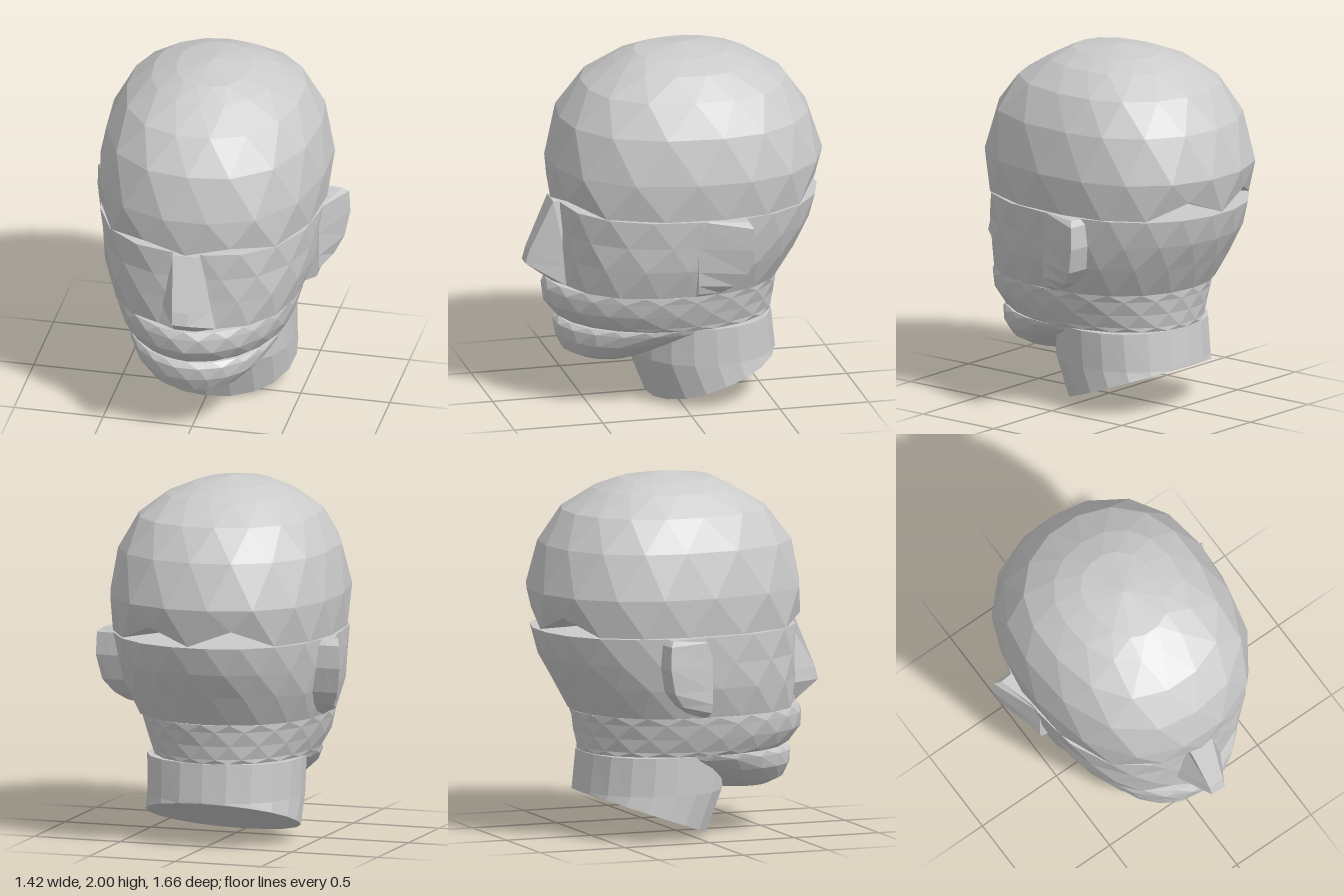
import * as THREE from 'three';

const material = new THREE.MeshStandardMaterial({ color: 0xcccccc, flatShading: true, roughness: 0.8 });

// Skins closed rings (ordered counter-clockwise from above, bottom to top) and caps both ends.
function loft(name, rings, { staggered = false, topCenter = null } = {}) {
  const n = rings[0].length;
  const positions = [];
  const tri = (a, b, c) => positions.push(...a, ...b, ...c);
  const middle = (ring) => [0, 1, 2].map((k) => ring.reduce((sum, p) => sum + p[k], 0) / n);
  for (let i = 0; i < rings.length - 1; i++) {
    const lo = rings[i], hi = rings[i + 1];
    for (let j = 0; j < n; j++) {
      const k = (j + 1) % n;
      if (staggered && i % 2) {
        tri(lo[j], hi[k], hi[j]);
        tri(lo[j], lo[k], hi[k]);
      } else {
        tri(lo[j], lo[k], hi[j]);
        tri(lo[k], hi[k], hi[j]);
      }
    }
  }
  const first = rings[0], last = rings[rings.length - 1];
  const bottom = middle(first), top = topCenter ?? middle(last);
  for (let j = 0; j < n; j++) {
    const k = (j + 1) % n;
    tri(bottom, first[k], first[j]);
    tri(top, last[j], last[k]);
  }
  const geometry = new THREE.BufferGeometry();
  geometry.setAttribute('position', new THREE.Float32BufferAttribute(positions, 3));
  geometry.computeVertexNormals();
  const mesh = new THREE.Mesh(geometry, material);
  mesh.name = name;
  return mesh;
}

// Rounded horizontal outline; split places the widest point between front (0) and back (1),
// ef and eb set the squareness of the front and back halves.
function outline(y, halfWidth, front, back, { n = 20, turn = 0, split = 0.5, ef = 2.1, eb = 2.15 } = {}) {
  const centre = front + (back - front) * split;
  return Array.from({ length: n }, (_, j) => {
    const a = ((j + turn) / n) * Math.PI * 2;
    const s = Math.sin(a), c = Math.cos(a);
    const e = c > 0 ? ef : eb;
    const r = (Math.abs(s) ** e + Math.abs(c) ** e) ** (-1 / e);
    return [s * r * halfWidth, y, centre + c * r * (c > 0 ? front - centre : centre - back)];
  });
}

// Stacks outlines from rows of [y, halfWidth, front, back]; lift raises single points of the lowest one.
function band(name, rows, { lift = {}, topCenter, ...shape } = {}) {
  const rings = rows.map(([y, w, f, b], i) =>
    outline(y, w, f, b, { ...shape, turn: i % 2 ? 0.5 : 0 }));
  for (const [j, height] of Object.entries(lift)) rings[0][j][1] += height;
  return loft(name, rings, { staggered: true, topCenter });
}

export function createModel() {
  const head = new THREE.Group();
  head.name = 'head';

  // Skull cap, its lower rim notched over the eyes and at the back
  head.add(band('cranium', [
    [1.16, 0.612, 0.675, -0.8],
    [1.37, 0.632, 0.685, -0.84],
    [1.62, 0.585, 0.625, -0.765],
    [1.8, 0.485, 0.49, -0.64],
    [1.91, 0.345, 0.31, -0.46],
    [1.965, 0.205, 0.2, -0.32],
  ], { n: 16, split: 0.57, ef: 2.45, topCenter: [0, 2, -0.07],
    lift: { 1: 0.05, 15: 0.05, 7: 0.09, 9: 0.09 } }));

  head.add(band('face', [
    [0.695, 0.52, 0.637, -0.595],
    [0.86, 0.577, 0.642, -0.69],
    [1.0, 0.598, 0.64, -0.765],
    [1.155, 0.614, 0.642, -0.812],
  ], { split: 0.54, ef: 2.55 }));

  head.add(band('upperJaw', [
    [0.47, 0.44, 0.62, -0.555],
    [0.495, 0.452, 0.66, -0.56],
    [0.57, 0.485, 0.715, -0.57],
    [0.65, 0.508, 0.72, -0.585],
    [0.692, 0.516, 0.7, -0.592],
  ], { ef: 1.9 }));

  head.add(band('chin', [
    [0.25, 0.17, 0.53, 0.18],
    [0.29, 0.255, 0.612, 0.08],
    [0.37, 0.36, 0.648, -0.15],
    [0.44, 0.422, 0.655, -0.45],
    [0.468, 0.434, 0.63, -0.5],
  ], { ef: 2 }));

  // Neck, cut off below by a plane rising towards the back
  const base = outline(0, 0.43, 0.14, -0.575);
  base.forEach((p) => { p[1] = 0.25 * (0.14 - p[2]) / 0.715; });
  head.add(loft('neck', [
    base,
    outline(0.255, 0.432, 0.24, -0.576),
    outline(0.468, 0.438, 0.24, -0.553),
  ]));

  // Nose rows: y, ridge half width, ridge z, base half width
  head.add(loft('nose', [
    [0.695, 0.06, 0.68, 0.16],
    [0.8, 0.042, 0.825, 0.14],
    [0.87, 0.045, 0.805, 0.13],
    [1.155, 0.07, 0.675, 0.076],
  ].map(([y, r, z, b]) => [
    [-r, y, z], [r, y, z], [b, y, 0.625], [b, y, 0.5], [-b, y, 0.5], [-b, y, 0.625],
  ])));

  // Ear wedge rows: y, rim x, rim z
  for (const side of [1, -1]) {
    const rings = [
      [0.697, 0.52, -0.04],
      [0.73, 0.585, -0.14],
      [0.78, 0.64, -0.21],
      [0.86, 0.685, -0.275],
      [1.0, 0.71, -0.31],
      [1.125, 0.705, -0.305],
      [1.155, 0.67, -0.28],
    ].map(([y, x, z]) => {
      const ring = [
        [0.5, y, -0.02], [Math.min(x, 0.597), y, -0.02], [x, y, z],
        [Math.min(x, 0.63), y, z - 0.005], [0.5, y, z - 0.01],
      ].map(([px, py, pz]) => [side * px, py, pz]);
      return side > 0 ? ring : ring.reverse();
    });
    head.add(loft(side > 0 ? 'leftEar' : 'rightEar', rings));
  }

  return head;
}
